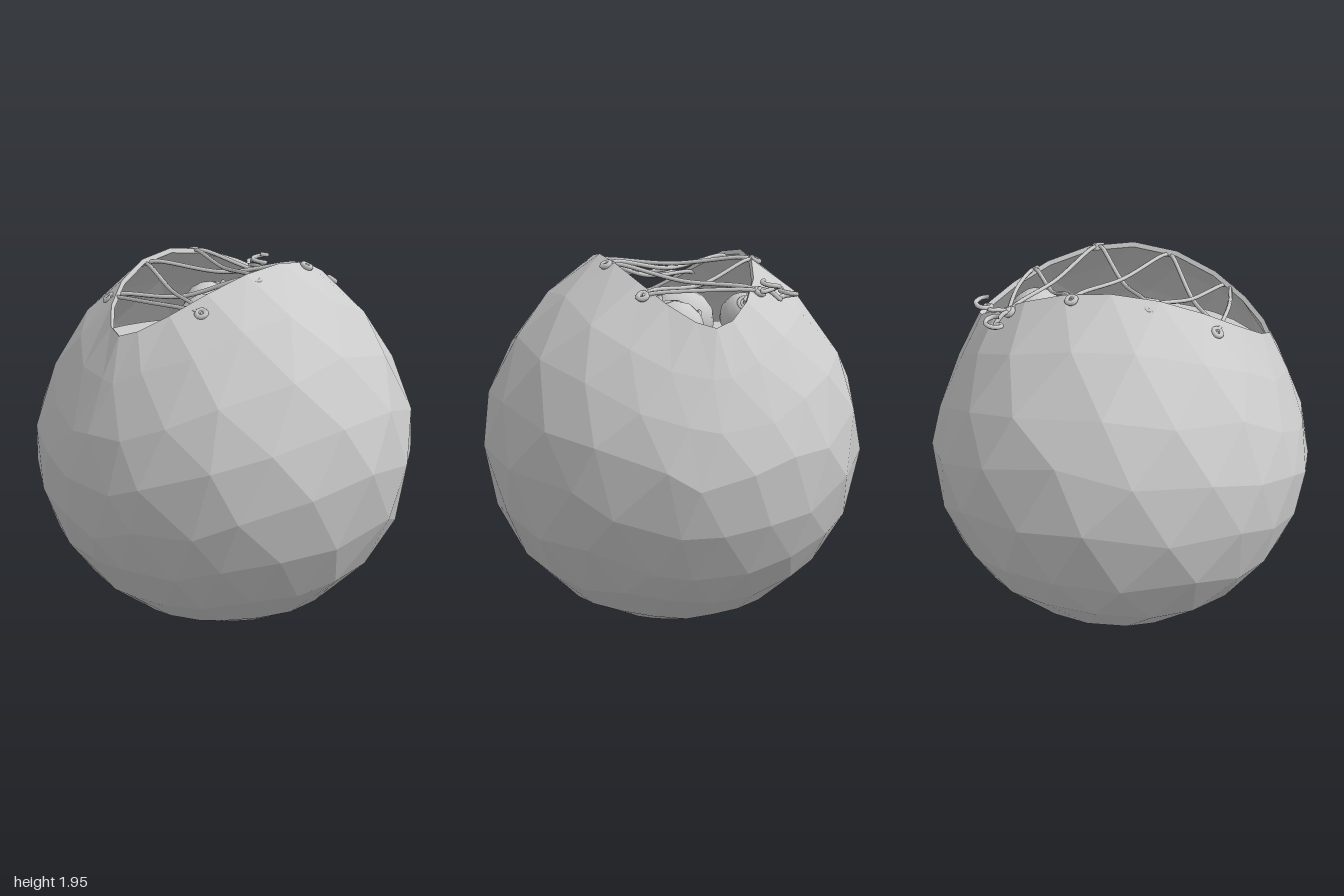
import * as THREE from 'three';

const grey = new THREE.MeshStandardMaterial({ color: 0xcccccc });
const faceted = new THREE.MeshStandardMaterial({ color: 0xcccccc, flatShading: true });
const V = (x, y, z) => new THREE.Vector3(x, y, z);
const CENTRE = V(0, 0.98, 0);
const SEGMENTS = 20, RINGS = 9;

function add(parent, name, geometry, material = grey) {
  const mesh = new THREE.Mesh(geometry, material);
  mesh.name = name;
  parent.add(mesh);
  return mesh;
}

// Repeatable value in -0.5..0.5 for the uneven facets
function wobble(k, i) {
  const s = Math.sin(k * 127.1 + (i % SEGMENTS) * 311.7) * 43758.5;
  return s - Math.floor(s) - 0.5;
}

// Saddle-shaped lens of the opening, relative to the centre
function rimPoint(t) {
  const c = Math.cos(t);
  const x = 0.38 * Math.sign(Math.sin(t)) * Math.pow(Math.max(0, 1 - c * c), 0.6);
  const z = 0.75 * c + 0.01;
  return V(x, 0.97 - 0.53 * z * z, z);
}

// Point on the pouch: ring 0 is the rim, the last ring is the bottom
function pouchPoint(k, i, scale) {
  if (k === RINGS) return V(0, -0.98 * scale, 0).add(CENTRE);
  const t = ((i + k / 2) / SEGMENTS) * Math.PI * 2;
  const rim = rimPoint(t);
  if (k === 0) return rim.multiplyScalar(scale).add(CENTRE);
  const r0 = rim.length();
  const theta0 = Math.acos(rim.y / r0);
  const shift = Math.atan2(rim.x, rim.z) - t;
  const w = k / RINGS;
  const theta = theta0 + (Math.PI - theta0) * w + wobble(k, i) * 0.09;
  const azimuth = t + Math.atan2(Math.sin(shift), Math.cos(shift)) * (1 - w) ** 2
    + wobble(k + 20, i) * 0.1;
  // The cloth is pulled flatter around the opening, most below its two pointed ends
  const bump = (at, width) => Math.max(0, 1 - Math.abs(w - at) / width);
  const pull = 0.045 * Math.cos(azimuth) ** 4 * bump(0.16, 0.18)
    + 0.028 * Math.sin(azimuth) ** 2 * bump(0.18, 0.2);
  const r = (THREE.MathUtils.lerp(r0, 1.0, Math.min(1, w * 3)) - pull) * scale;
  const p = V(0, 0, 0).setFromSphericalCoords(r, theta, azimuth);
  p.y *= 0.98;
  return p.add(CENTRE);
}

// Faceted pouch with an inner lining and a lip joining the two
function pouchGeometry() {
  const pos = [];
  const tri = (a, b, c) => [a, b, c].forEach(p => pos.push(p.x, p.y, p.z));
  const inner = 0.975;
  for (let i = 0; i < SEGMENTS; i++) {
    for (let k = 0; k < RINGS; k++) {
      for (const s of [1, inner]) {
        const a = pouchPoint(k, i, s), b = pouchPoint(k, i + 1, s);
        const c = pouchPoint(k + 1, i, s), d = pouchPoint(k + 1, i + 1, s);
        if (s === 1) tri(a, c, b); else tri(a, b, c);
        if (k < RINGS - 1) {
          if (s === 1) tri(b, c, d); else tri(b, d, c);
        }
      }
    }
    const a = pouchPoint(0, i, 1), b = pouchPoint(0, i + 1, 1);
    const c = pouchPoint(0, i, inner), d = pouchPoint(0, i + 1, inner);
    tri(a, b, c);
    tri(b, d, c);
  }
  const geometry = new THREE.BufferGeometry();
  geometry.setAttribute('position', new THREE.Float32BufferAttribute(pos, 3));
  geometry.computeVertexNormals();
  return geometry;
}

// Egg-shaped fruit with a collar and a short stem, tilted along the stem direction
function makeFruit(x, y, z, r, direction) {
  const fruit = new THREE.Group();
  fruit.name = 'fruit';
  const profile = [[0, -1], [0.4, -0.93], [0.76, -0.66], [0.96, -0.25], [0.97, 0.15],
    [0.82, 0.57], [0.55, 0.88], [0.3, 1.04], [0, 1.08]];
  add(fruit, 'fruitBody', new THREE.LatheGeometry(
    profile.map(([a, b]) => new THREE.Vector2(a * r, b * r)), 20));
  const collar = add(fruit, 'fruitCollar', new THREE.TorusGeometry(r * 0.3, r * 0.08, 6, 14));
  collar.rotation.x = Math.PI / 2;
  collar.position.y = r * 1.04;
  const stem = add(fruit, 'fruitStem', new THREE.CylinderGeometry(r * 0.15, r * 0.12, r * 0.36, 8));
  stem.position.y = r * 1.22;
  fruit.position.set(x, y, z);
  fruit.quaternion.setFromUnitVectors(V(0, 1, 0), direction.clone().normalize());
  return fruit;
}

function cord(parent, name, points, radius = 0.011) {
  const curve = new THREE.CatmullRomCurve3(points);
  return add(parent, name, new THREE.TubeGeometry(curve, points.length * 8, radius, 6));
}

export function createModel() {
  const model = new THREE.Group();
  model.name = 'lacedPouch';
  add(model, 'pouch', pouchGeometry(), faceted);

  // Flat top of the filling that carries the fruit
  const filling = add(model, 'filling', new THREE.CircleGeometry(0.76, 32));
  filling.rotation.x = -Math.PI / 2;
  filling.position.y = 1.48;

  // Fruit under the opening
  const fruits = new THREE.Group();
  fruits.name = 'fruits';
  fruits.add(
    makeFruit(-0.08, 1.59, 0.05, 0.16, V(0.9, 0.45, 0)),
    makeFruit(0.12, 1.62, -0.46, 0.14, V(0.7, -0.3, 0.6)),
    makeFruit(0.06, 1.61, -0.2, 0.12, V(-0.8, 0.4, -0.65)),
    makeFruit(0.22, 1.57, 0.11, 0.13, V(-0.5, 0.25, -0.85)),
    makeFruit(0.05, 1.57, 0.33, 0.135, V(0.35, 0.55, -0.8)),
    makeFruit(-0.32, 1.63, -0.2, 0.12, V(0.1, 0.5, -0.6)),
  );
  model.add(fruits);

  // Lacing holes, back to front, mirrored left and right
  const lacing = new THREE.Group();
  lacing.name = 'lacing';
  const rows = [[0.3, 1.795, -0.51], [0.395, 1.915, -0.18], [0.385, 1.89, 0.2], [0.32, 1.76, 0.52]];
  const hole = (row, side) => V(rows[row][0] * side, rows[row][1], rows[row][2]);
  rows.forEach((_, row) => [-1, 1].forEach(side => {
    const p = hole(row, side);
    const ring = add(lacing, 'eyelet', new THREE.TorusGeometry(0.022, 0.014, 6, 12));
    ring.position.copy(p);
    ring.lookAt(p.clone().multiplyScalar(2).sub(CENTRE));
  }));

  // Laces pass over the lip and sag a little across the gap
  const lace = (a, b, lift, bow = 0) => {
    const mid = a.clone().lerp(b, 0.5).add(V(0, lift, bow));
    const nearA = a.clone().lerp(b, 0.08).add(V(0, 0.012, bow * 0.3));
    const nearB = b.clone().lerp(a, 0.08).add(V(0, 0.012, bow * 0.3));
    cord(lacing, 'lace', [a, nearA, mid, nearB, b]);
  };
  lace(hole(0, -1), hole(0, 1), 0.02, -0.02);
  lace(hole(3, -1), hole(3, 1), 0.02, 0.03);
  for (let row = 0; row < 3; row++) {
    lace(hole(row, -1), hole(row + 1, 1), -0.015);
    lace(hole(row, 1), hole(row + 1, -1), -0.038);
  }

  // Loose curled ends at the back hole
  const start = hole(0, -1);
  const curledEnd = (points, cx, cy, cz) => {
    const curl = [];
    for (let i = 0; i <= 10; i++) {
      const a = (i / 10) * Math.PI * 2.3;
      curl.push(V(cx + 0.042 * Math.cos(a), cy + i * 0.005, cz + 0.038 * Math.sin(a)));
    }
    cord(lacing, 'looseEnd', [start, ...points, ...curl], 0.012);
  };
  curledEnd([V(-0.34, 1.8, -0.53)], -0.43, 1.76, -0.56);
  curledEnd([V(-0.32, 1.81, -0.55), V(-0.35, 1.82, -0.59)], -0.31, 1.81, -0.635);
  const knot = add(lacing, 'knot', new THREE.SphereGeometry(0.024, 10, 8));
  knot.position.copy(start);
  model.add(lacing);
  return model;
}
